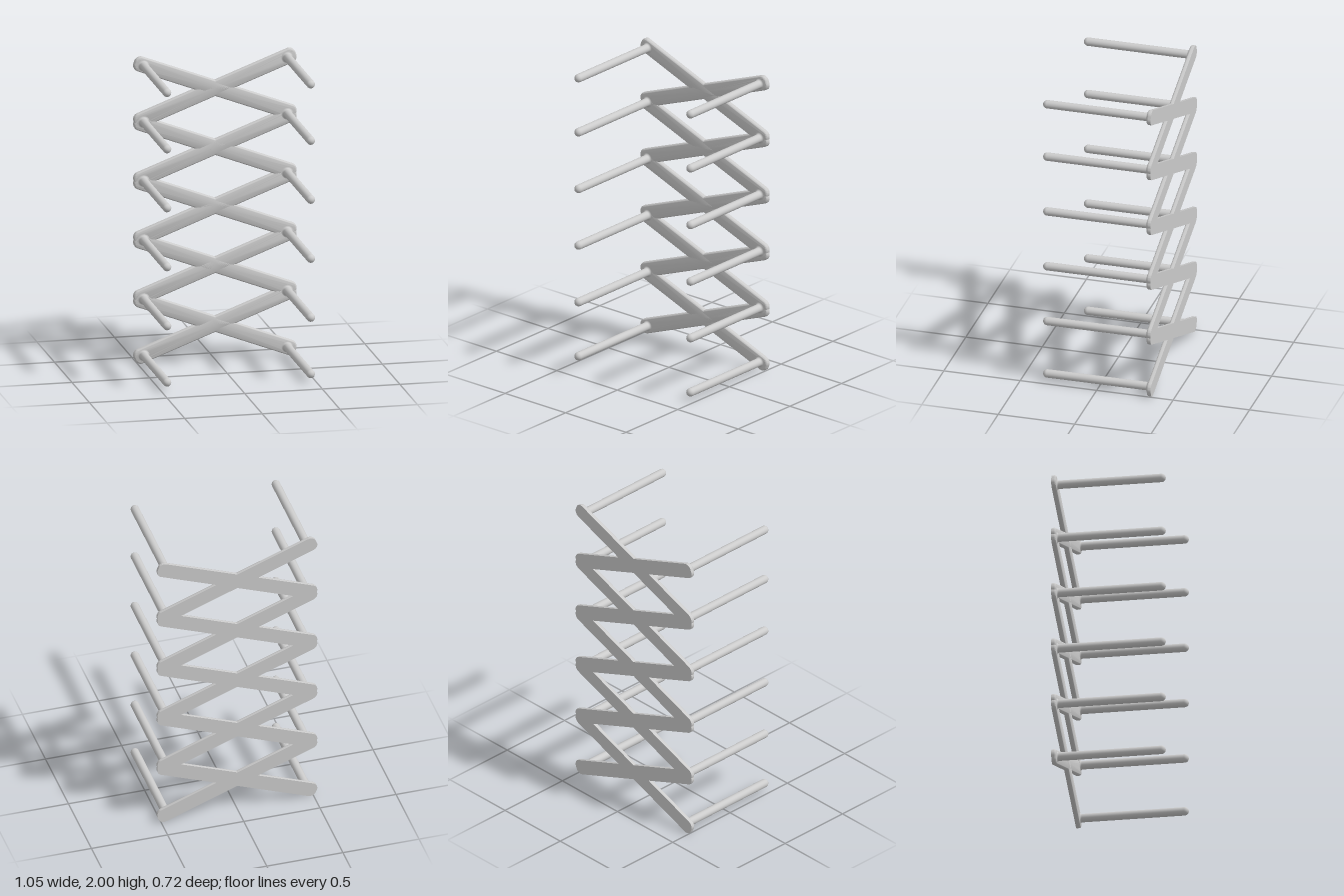
import * as THREE from 'three';
import { toCreasedNormals } from 'three/addons/utils/BufferGeometryUtils.js';

const material = new THREE.MeshStandardMaterial({ color: 0xcccccc });
const BACK = -0.36, FRONT = -0.33;
const CROSSINGS = 5, PITCH = 0.384, TILT = THREE.MathUtils.degToRad(20.8);
const BAR = { length: 1.112, width: 0.097, corner: 0.04, fillet: 0.013 };
const PEG = { x: 0.463, radius: 0.0268, fillet: 0.012 };

// Rounded rectangle outline, shrunk inwards by d
function outline(d) {
  const r = BAR.corner - d, steps = 8, points = [];
  const cx = BAR.length / 2 - BAR.corner, cy = BAR.width / 2 - BAR.corner;
  [[1, 1], [-1, 1], [-1, -1], [1, -1]].forEach(([sx, sy], q) => {
    for (let i = 0; i <= steps; i++) {
      const a = (q + i / steps) * Math.PI / 2;
      points.push([sx * cx + r * Math.cos(a), sy * cy + r * Math.sin(a)]);
    }
  });
  return points;
}

// Flat bar: sharp edge at the back, rounded edge at the front
function barGeometry() {
  const rings = [];
  const addRing = (d, z) => rings.push(outline(d).map(([x, y]) => [x, y, z]));
  const addCentre = (z) => rings.push(outline(0).map(() => [0, 0, z]));
  addCentre(BACK);
  addRing(0, BACK);
  for (let i = 0; i <= 5; i++) {
    const a = i / 5 * Math.PI / 2, f = BAR.fillet;
    addRing(f * (1 - Math.cos(a)), FRONT - f + f * Math.sin(a));
  }
  addCentre(FRONT);

  const n = rings[0].length, positions = [];
  for (let k = 0; k < rings.length - 1; k++) {
    for (let i = 0; i < n; i++) {
      const j = (i + 1) % n;
      const a = rings[k][i], b = rings[k][j], c = rings[k + 1][j], d = rings[k + 1][i];
      if (k > 0) positions.push(...a, ...b, ...c);
      if (k === 0) positions.push(...a, ...c, ...d);
      else if (k < rings.length - 2) positions.push(...a, ...c, ...d);
    }
  }
  const geometry = new THREE.BufferGeometry();
  geometry.setAttribute('position', new THREE.Float32BufferAttribute(positions, 3));
  return toCreasedNormals(geometry, 0.6);
}

// Round peg: flared at the bar, domed at the tip, pointing to +z
function pegGeometry() {
  const { radius: r, fillet: f } = PEG, tip = 0.36, profile = [];
  for (let i = 0; i <= 5; i++) {
    const a = i / 5 * Math.PI / 2;
    profile.push(new THREE.Vector2(r + f * (1 - Math.sin(a)), FRONT + f * (1 - Math.cos(a))));
  }
  for (let i = 0; i <= 8; i++) {
    const a = i / 8 * Math.PI / 2;
    profile.push(new THREE.Vector2(i === 8 ? 0 : r * Math.cos(a), tip - r + r * Math.sin(a)));
  }
  return new THREE.LatheGeometry(profile, 32).rotateX(Math.PI / 2);
}

export function createModel() {
  const model = new THREE.Group();
  model.name = 'scissorRack';
  const bar = barGeometry(), peg = pegGeometry();
  const add = (name, geometry, x, y, tilt = 0) => {
    const mesh = new THREE.Mesh(geometry, material);
    mesh.name = name;
    mesh.position.set(x, y, 0);
    mesh.rotation.z = tilt;
    model.add(mesh);
  };

  // Crossed bars
  for (let i = 0; i < CROSSINGS; i++) {
    const y = 1 + (i - (CROSSINGS - 1) / 2) * PITCH;
    add('risingBar', bar, 0, y, TILT);
    add('fallingBar', bar, 0, y, -TILT);
  }

  // Pegs at every joint and at the free ends
  for (let i = 0; i <= CROSSINGS; i++) {
    const y = i === 0 ? 0.057 : i === CROSSINGS ? 1.943 : 1 + (i - CROSSINGS / 2) * PITCH;
    add('leftPeg', peg, PEG.x, y);
    add('rightPeg', peg, -PEG.x, y);
  }
  return model;
}
